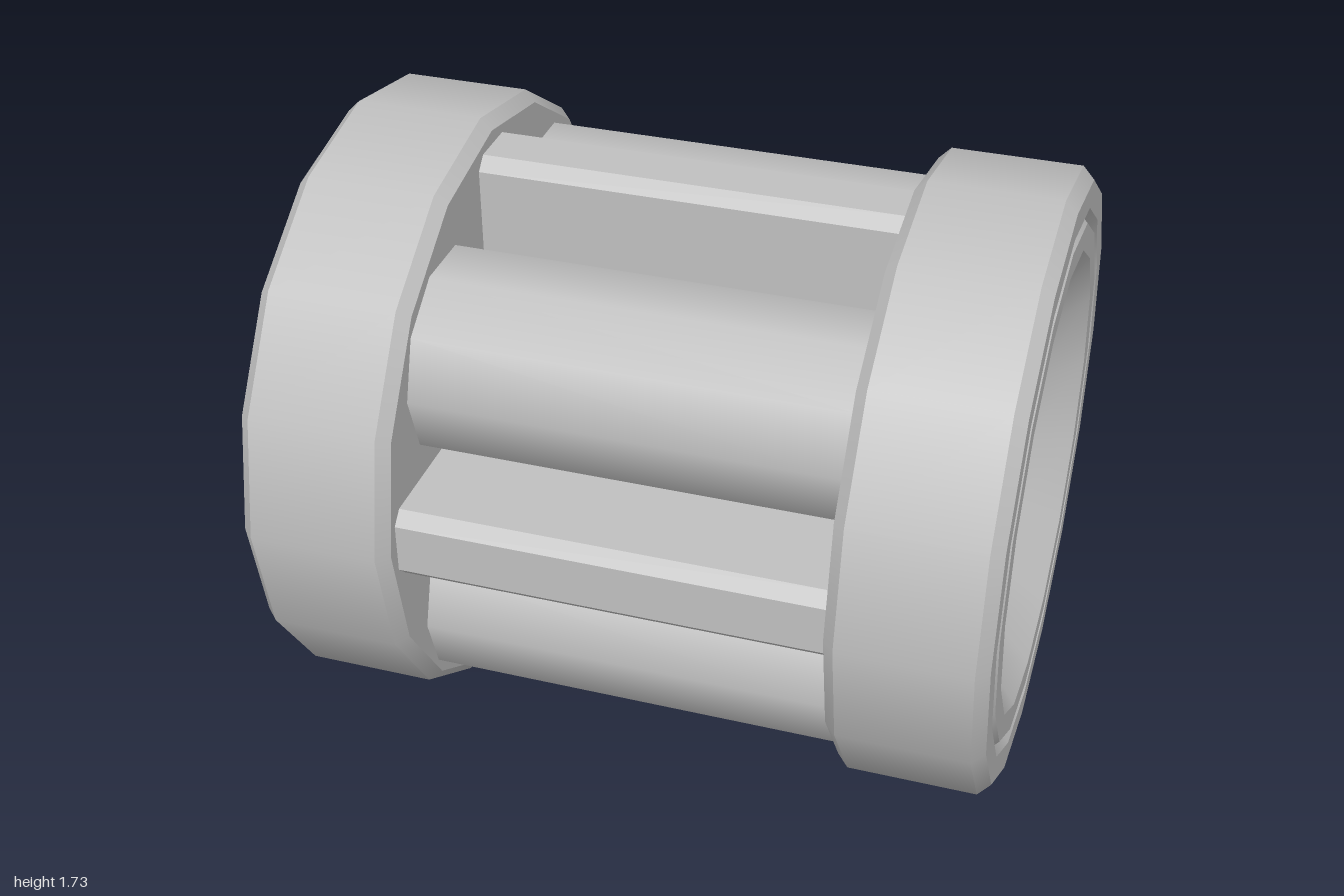
import * as THREE from 'three';
import { mergeGeometries } from 'three/addons/utils/BufferGeometryUtils.js';

const CENTRE = 0.865;   // height of the long axis
const INNER = 0.58;     // inner face of each end cap

// Lathe whose profile corners stay sharp while the sides shade smoothly.
// Profile entries are [x along the axis, radius].
function sharpLathe(profile, sides) {
  const parts = [];
  for (let i = 0; i < profile.length - 1; i++) {
    const pts = [profile[i], profile[i + 1]].map(([x, r]) => new THREE.Vector2(r, x));
    parts.push(new THREE.LatheGeometry(pts, sides));
  }
  return mergeGeometries(parts).rotateZ(-Math.PI / 2);
}

export function createModel() {
  const model = new THREE.Group();
  model.name = 'drum';
  const grey = new THREE.MeshStandardMaterial({ color: 0xc0c0c0 });
  grey.name = 'grey';

  const body = new THREE.Group();
  body.name = 'body';
  body.position.y = CENTRE;
  model.add(body);

  const add = (geometry, name) => {
    const mesh = new THREE.Mesh(geometry, grey);
    mesh.name = name;
    body.add(mesh);
    return mesh;
  };

  // End caps: bevelled rims, a V groove and a dished centre
  const capGeometry = sharpLathe([
    [INNER, 0], [INNER, 0.833], [0.612, 0.865], [0.967, 0.865], [1, 0.832],
    [1, 0.757], [0.98, 0.736], [1, 0.716],
    [1, 0.643], [0.88, 0.5], [0.88, 0],
  ], 16);
  add(capGeometry, 'leftCap');
  add(capGeometry, 'rightCap').rotation.y = Math.PI;

  // Four bars with bevelled outer edges
  const outline = new THREE.Shape([
    [-0.105, 0.3], [0.105, 0.3], [0.105, 0.76], [0.07, 0.795], [-0.07, 0.795], [-0.105, 0.76],
  ].map(([x, y]) => new THREE.Vector2(x, y)));
  const barGeometry = new THREE.ExtrudeGeometry(outline, { depth: 2 * INNER, bevelEnabled: false })
    .translate(0, 0, -INNER).rotateY(Math.PI / 2);
  ['topBar', 'frontBar', 'bottomBar', 'backBar'].forEach((name, i) => {
    add(barGeometry, name).rotation.x = i * Math.PI / 2;
  });

  // Four round tubes between the bars
  const tubeGeometry = new THREE.CylinderGeometry(0.281, 0.281, 2 * INNER, 10).rotateZ(Math.PI / 2);
  for (const [sy, row] of [[1, 'upper'], [-1, 'lower']]) {
    for (const [sz, side] of [[1, 'Front'], [-1, 'Back']]) {
      add(tubeGeometry, `${row}${side}Tube`).position.set(0, sy * 0.37, sz * 0.377);
    }
  }
  return model;
}
